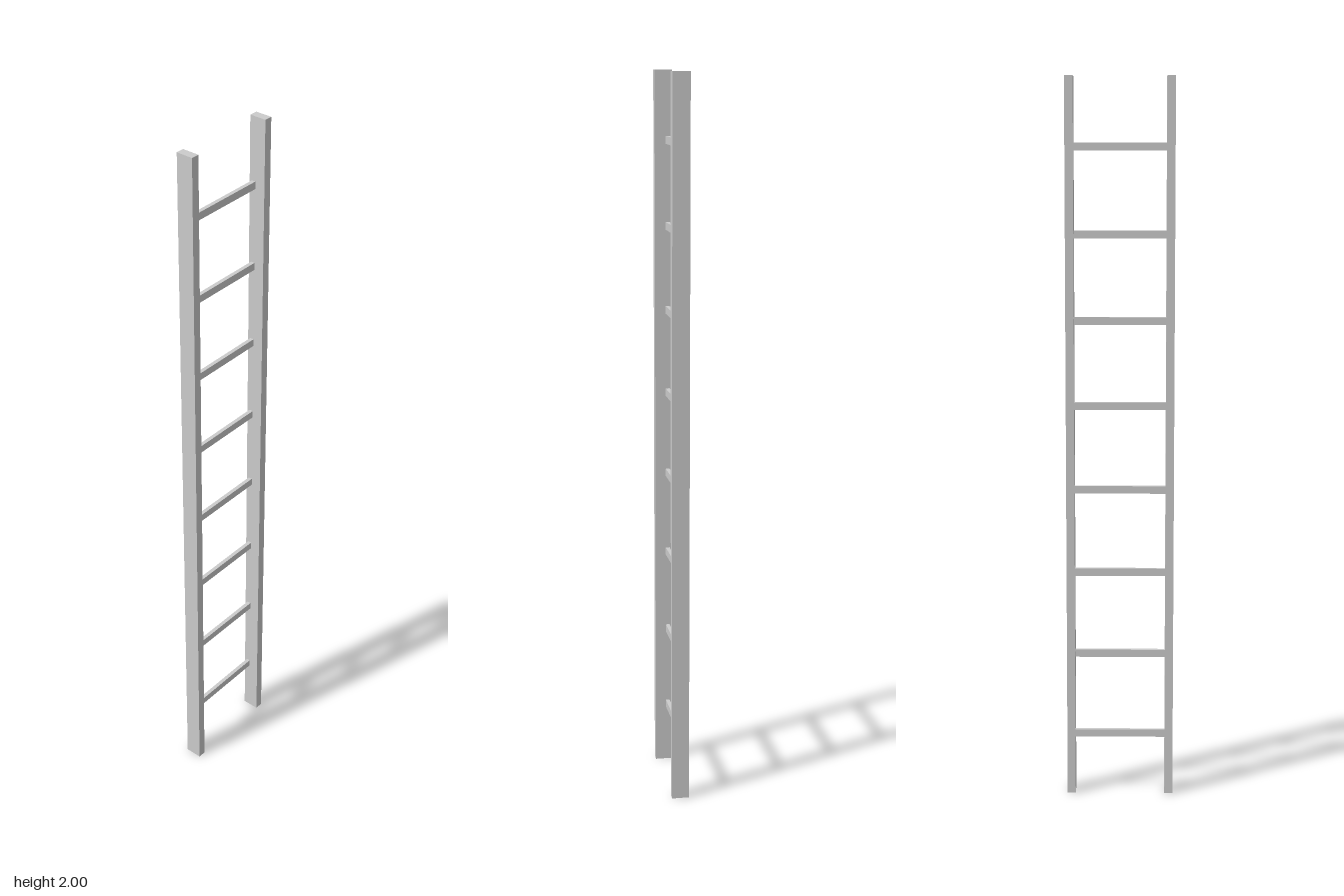
import * as THREE from 'three';

export function createModel() {
  const group = new THREE.Group();
  const material = new THREE.MeshStandardMaterial({ color: 0xcccccc, flatShading: true });

  const railWidth = 0.023, railDepth = 0.048, halfWidth = 0.149;

  // Two upright side rails
  for (const [name, side] of [['leftRail', 1], ['rightRail', -1]]) {
    const rail = new THREE.Mesh(new THREE.BoxGeometry(railWidth, 2, railDepth), material);
    rail.name = name;
    rail.position.set(side * (halfWidth - railWidth / 2), 1, 0);
    group.add(rail);
  }

  // Eight evenly spaced rungs, set towards the back of the rails
  const rungLength = 2 * (halfWidth - railWidth);
  const rungGeometry = new THREE.BoxGeometry(rungLength, 0.021, 0.011);
  for (let i = 0; i < 8; i++) {
    const rung = new THREE.Mesh(rungGeometry, material);
    rung.name = `rung${i + 1}`;
    rung.position.set(0, 0.175 + i * 0.234, -0.011);
    group.add(rung);
  }

  return group;
}
